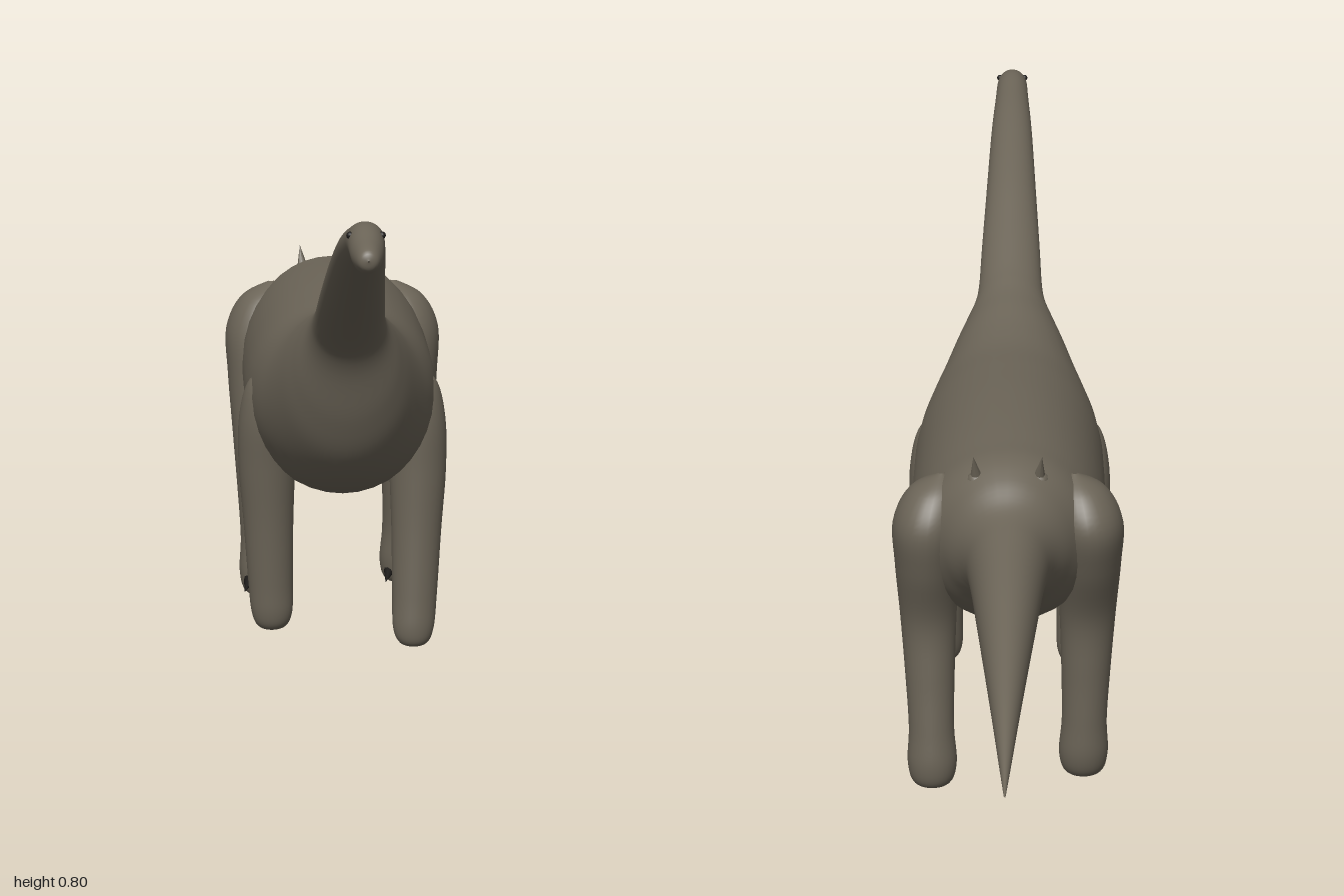
import * as THREE from 'three';

const skin = new THREE.MeshStandardMaterial({ color: 0x6b6457 });
skin.name = 'hide grey brown';
const dark = new THREE.MeshStandardMaterial({ color: 0x1c1a18 });
dark.name = 'claw black';

// Smooth skin through elliptical sections [x, y, z, a, b].
// axis 'z': rings face z, listed from front to back; axis 'y': rings face y, listed downwards.
function loft(rows, axis, steps = 6, sides = 28) {
  const pos = [], idx = [];
  const at = (i) => rows[Math.min(Math.max(i, 0), rows.length - 1)];
  const rings = [];
  for (let i = 0; i < rows.length - 1; i++) {
    for (let s = 0; s < steps; s++) {
      const t = s / steps;
      rings.push(rows[i].map((p1, k) => {
        const p2 = at(i + 1)[k];
        const m1 = (p2 - at(i - 1)[k]) / 2, m2 = (at(i + 2)[k] - p1) / 2;
        const t2 = t * t, t3 = t2 * t;
        const v = (2 * t3 - 3 * t2 + 1) * p1 + (t3 - 2 * t2 + t) * m1
          + (3 * t2 - 2 * t3) * p2 + (t3 - t2) * m2;
        return k > 2 ? Math.max(v, 0.0005) : v;
      }));
    }
  }
  rings.push(rows[rows.length - 1]);
  rings.forEach(([x, y, z, a, b], r) => {
    for (let j = 0; j < sides; j++) {
      const w = (j / sides) * Math.PI * 2;
      const c = a * Math.cos(w), s = b * Math.sin(w);
      if (axis === 'z') pos.push(x + c, y + s, z);
      else pos.push(x + c, y, z - s);
      if (r < rings.length - 1) {
        const p = r * sides + j, q = r * sides + (j + 1) % sides;
        idx.push(p, p + sides, q, q, p + sides, q + sides);
      }
    }
  });
  const g = new THREE.BufferGeometry();
  g.setAttribute('position', new THREE.Float32BufferAttribute(pos, 3));
  g.setIndex(idx);
  g.computeVertexNormals();
  return g;
}

function add(parent, name, geometry, material) {
  const mesh = new THREE.Mesh(geometry, material);
  mesh.name = name;
  parent.add(mesh);
  return mesh;
}

// Cone running from a base point to its tip
function spike(parent, name, from, to, radius, material) {
  const a = new THREE.Vector3(...from), b = new THREE.Vector3(...to);
  const dir = b.clone().sub(a);
  const mesh = add(parent, name, new THREE.ConeGeometry(radius, dir.length(), 8), material);
  mesh.position.copy(a).add(b).multiplyScalar(0.5);
  mesh.quaternion.setFromUnitVectors(new THREE.Vector3(0, 1, 0), dir.normalize());
}

// Body outline: [z, top, bottom, half width]
const outline = [
  [1.0, 0.765, 0.763, 0.001], [0.993, 0.778, 0.749, 0.014], [0.96, 0.788, 0.742, 0.021],
  [0.91, 0.8, 0.748, 0.025], [0.85, 0.79, 0.735, 0.028], [0.75, 0.765, 0.7, 0.034],
  [0.6, 0.71, 0.633, 0.041], [0.48, 0.655, 0.575, 0.047], [0.4, 0.617, 0.53, 0.051],
  [0.365, 0.602, 0.49, 0.058], [0.335, 0.59, 0.405, 0.078], [0.3, 0.58, 0.34, 0.096],
  [0.24, 0.563, 0.288, 0.117], [0.17, 0.552, 0.262, 0.135], [0.08, 0.552, 0.244, 0.145],
  [-0.04, 0.553, 0.236, 0.147], [-0.16, 0.55, 0.243, 0.146], [-0.25, 0.545, 0.258, 0.14],
  [-0.31, 0.54, 0.285, 0.125], [-0.355, 0.52, 0.318, 0.095], [-0.4, 0.488, 0.337, 0.067],
  [-0.46, 0.47, 0.342, 0.055], [-0.6, 0.436, 0.337, 0.041], [-0.8, 0.377, 0.324, 0.021],
  [-0.93, 0.333, 0.312, 0.008], [-1.0, 0.309, 0.307, 0.001],
];

// Legs on the +x side: [x, y, z, half width, half depth]
const frontLeg = [
  [0.095, 0.45, 0.13, 0.004, 0.004], [0.105, 0.43, 0.13, 0.035, 0.035],
  [0.112, 0.37, 0.13, 0.044, 0.048], [0.114, 0.29, 0.135, 0.043, 0.043],
  [0.112, 0.2, 0.142, 0.038, 0.037], [0.109, 0.1, 0.153, 0.034, 0.031],
  [0.107, 0.05, 0.161, 0.031, 0.026], [0.107, 0.027, 0.164, 0.021, 0.018],
  [0.107, 0.02, 0.165, 0.001, 0.001],
];
const hindLeg = [
  [0.098, 0.505, -0.285, 0.004, 0.004], [0.108, 0.48, -0.285, 0.038, 0.045],
  [0.118, 0.43, -0.285, 0.052, 0.07], [0.12, 0.36, -0.275, 0.048, 0.066],
  [0.119, 0.27, -0.262, 0.042, 0.048], [0.117, 0.18, -0.272, 0.037, 0.04],
  [0.115, 0.1, -0.284, 0.034, 0.036], [0.114, 0.045, -0.288, 0.037, 0.037],
  [0.114, 0.013, -0.288, 0.028, 0.028], [0.114, 0.005, -0.288, 0.001, 0.001],
];

export function createModel() {
  const model = new THREE.Group();
  model.name = 'longNeckedDinosaur';

  // Head, neck, trunk and tail as one skin
  const bodyRows = outline.map(([z, t, b, w]) => [0, (t + b) / 2, z, w, (t - b) / 2]);
  add(model, 'body', loft(bodyRows, 'z', 6, 36), skin);

  for (const side of [1, -1]) {
    const label = side > 0 ? 'left' : 'right';
    // The right pair is mid-stride: front foot further back, hind foot further forward
    const stance = (rows, shift, lift) => rows.map(([x, y, z, a, b]) => {
      const low = Math.max(0, 1 - y / 0.42);
      return side > 0 ? [x, y, z, a, b] : [-x, y + lift * low, z + shift * low, a, b];
    });
    add(model, label + 'FrontLeg', loft(stance(frontLeg, -0.053, 0.016), 'y'), skin);
    add(model, label + 'HindLeg', loft(stance(hindLeg, 0.056, -0.005), 'y'), skin);

    // Hind claws
    const footZ = side > 0 ? -0.288 : -0.232;
    const claws = new THREE.Group();
    claws.name = label + 'HindClaws';
    model.add(claws);
    for (let i = 0; i < 4; i++) {
      const k = (i - 1.5) / 1.5;
      const x = side * 0.114 + k * 0.022;
      const z = footZ + 0.026 - 0.008 * k * k;
      spike(claws, 'claw', [x, 0.03, z], [x + k * 0.008, 0.02, z + 0.042], 0.009, dark);
    }

    // Small horns over the hips
    const bump = add(model, label + 'HornBase', new THREE.SphereGeometry(0.016, 14, 10), skin);
    bump.position.set(side * 0.045, 0.508, -0.328);
    spike(model, label + 'Horn', [side * 0.045, 0.508, -0.328], [side * 0.05, 0.552, -0.346], 0.011, skin);

    // Eyes
    const eye = add(model, label + 'Eye', new THREE.SphereGeometry(0.005, 12, 8), dark);
    eye.position.set(side * 0.021, 0.785, 0.92);
  }
  return model;
}
